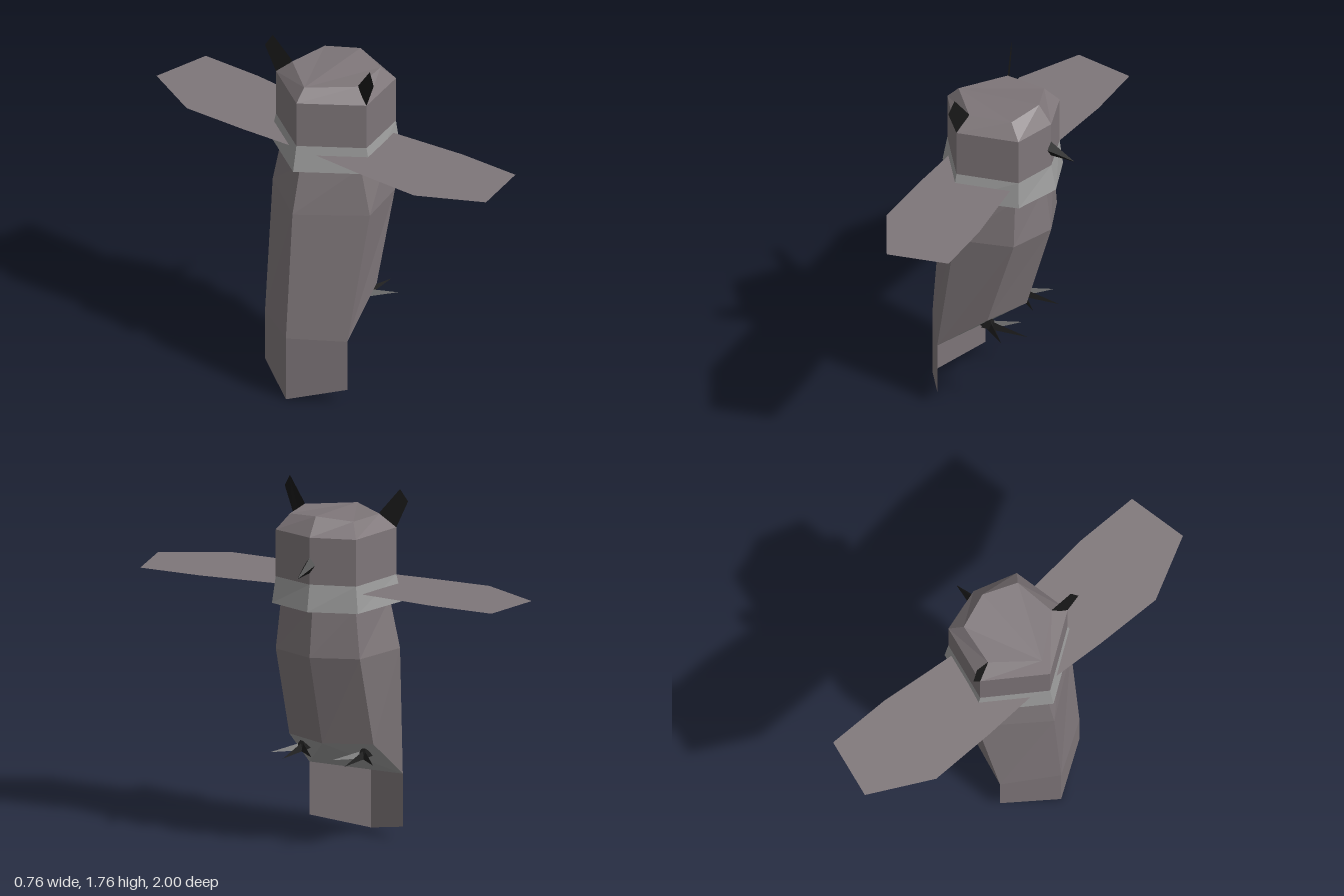
import * as THREE from 'three';

const paint = (name, color) => new THREE.MeshStandardMaterial({ name, color, flatShading: true, side: THREE.DoubleSide });

// Faceted mesh from polygons, each fanned from its first corner
function faceted(name, polygons, material) {
  const pos = [];
  for (const p of polygons)
    for (let i = 1; i < p.length - 1; i++) pos.push(...p[0], ...p[i], ...p[i + 1]);
  const geo = new THREE.BufferGeometry();
  geo.setAttribute('position', new THREE.Float32BufferAttribute(pos, 3));
  geo.computeVertexNormals();
  const mesh = new THREE.Mesh(geo, material);
  mesh.name = name;
  return mesh;
}

// Six-sided cross-section: back, side, front corner, breast tip, then mirrored corners
const flip = ([x, y, z]) => [x, y, -z];
const ring = (back, side, front, tip) => [back, side, front, tip, flip(front), flip(side)];
const level = (y, back, sx, sz, fx, fz, tip) =>
  ring([back, y, 0], [sx, y, sz], [fx, y, fz], [tip, y, 0]);

// Quads between stacked rings, lowest first
function loft(rings) {
  const quads = [];
  for (let r = 0; r < rings.length - 1; r++)
    for (let i = 0; i < 6; i++) {
      const j = (i + 1) % 6;
      quads.push([rings[r][i], rings[r][j], rings[r + 1][j], rings[r + 1][i]]);
    }
  return quads;
}

// Pointed spike: triangles from a base loop to a tip
const spike = (base, tip) => base.map((p, i) => [p, base[(i + 1) % base.length], tip]);

// Slim claw running along the ground from the ankle to a tip
function claw(ax, ay, az, tx, ty, tz) {
  const dx = tx - ax, dz = tz - az, l = Math.hypot(dx, dz), w = 0.02;
  const nx = (-dz / l) * w, nz = (dx / l) * w;
  return spike([[ax + nx, ty, az + nz], [ax, ay + 0.015, az], [ax - nx, ty, az - nz]], [tx, ty, tz]);
}

export function createModel() {
  const model = new THREE.Group();
  model.name = 'owl';
  const brown = paint('brown feathers', 0x7e7679);
  const grey = paint('pale grey', 0x9c9c9c);
  const black = paint('black', 0x181818);

  // Body, open below where the belly patch closes it
  const hem = ring([-0.38, 0.33, 0], [-0.225, 0.33, 0.25], [0.03, 0.53, 0.225], [0.125, 0.53, 0]);
  model.add(faceted('body', loft([
    hem,
    level(0.98, -0.33, -0.11, 0.295, 0.17, 0.225, 0.255),
    level(1.22, -0.27, -0.11, 0.24, 0.165, 0.2, 0.225),
    level(1.34, -0.26, -0.11, 0.23, 0.155, 0.19, 0.215),
  ]), brown));
  model.add(faceted('underside', [[hem[3], hem[2], hem[1], hem[5], hem[4]]], grey));

  // Tail: two planes meeting in a V at the back
  const tailHalf = [hem[0], [-0.38, 0, 0], [-0.225, 0.07, 0.25], hem[1]];
  model.add(faceted('tail', [tailHalf, tailHalf.map(flip).reverse()], brown));

  // Head with bevelled crown
  const neck = level(1.34, -0.3, -0.11, 0.275, 0.19, 0.215, 0.255);
  const crown = ring([-0.24, 1.63, 0], [-0.08, 1.635, 0.2], [0.13, 1.64, 0.17], [0.19, 1.66, 0]);
  model.add(faceted('head', [
    ...loft([neck, level(1.57, -0.3, -0.11, 0.275, 0.19, 0.215, 0.255), crown]),
    crown,
  ], brown));

  // Flared collar
  model.add(faceted('collar', loft([
    level(1.21, -0.325, -0.115, 0.305, 0.2, 0.23, 0.28), neck,
  ]), grey));

  // Beak
  model.add(faceted('beak', spike(
    [[0.25, 1.475, 0], [0.25, 1.435, -0.027], [0.25, 1.395, 0], [0.25, 1.435, 0.027]].reverse(),
    [0.38, 1.395, 0]), black));

  for (const s of [1, -1]) {
    const side = s > 0 ? 'right' : 'left';

    // Flat outstretched wing
    const wing = [[-0.11, 1], [0.19, 0.94], [0.19, 0.62], [0.15, 0.2], [0.12, 0.05],
      [-0.25, 0.05], [-0.265, 0.35], [-0.27, 0.69]];
    const poly = wing.map(([x, z]) => [x, 1.295, z * s]);
    model.add(faceted(side + 'Wing', [s > 0 ? poly : poly.reverse()], brown));

    // Ear tuft, rooted in the crown bevel
    const tuft = [[-0.11, 1.76, 0.295], [-0.125, 1.7, 0.33], [-0.11, 1.57, 0.275],
      [-0.1, 1.58, 0.24], [-0.08, 1.64, 0.2]];
    const ear = tuft.map(([x, y, z]) => [x, y, z * s]);
    model.add(faceted(side + 'Ear', [s > 0 ? ear : ear.reverse()], black));

    // Foot: short ankle and four claws
    const z = 0.165 * s;
    const tips = [[0.215, 0], [0.13, 0.11], [0.13, -0.11], [-0.065, 0]];
    const ankle = spike([[-0.02, 0.46, z - 0.03], [-0.02, 0.46, z + 0.03], [0.04, 0.46, z + 0.03],
      [0.04, 0.46, z - 0.03]], [0.01, 0.515, z]);
    model.add(faceted(side + 'Foot', [
      ...ankle, ...tips.flatMap(([x, dz]) => claw(0.01, 0.475, z, x, 0.455, z + dz)),
    ], black));
  }
  return model;
}
